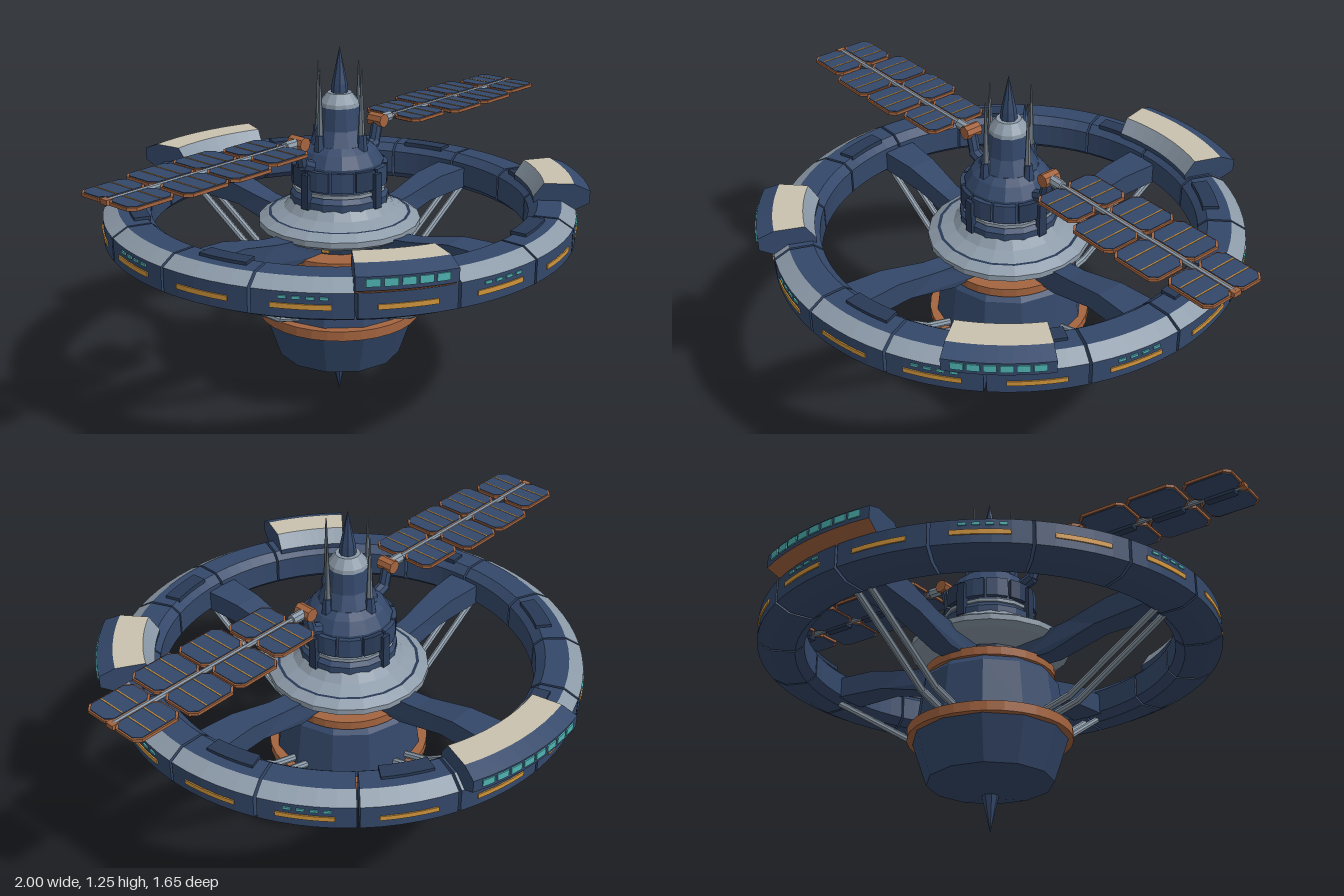
import * as THREE from 'three';

const mat = (name, color) => Object.assign(new THREE.MeshStandardMaterial({ color, flatShading: true }), { name });
const navy = mat('hull navy', 0x34486a);
const dark = mat('panel navy', 0x293a56);
const steel = mat('steel grey', 0x8c9aa8);
const cream = mat('roof cream', 0xcac2b0);
const copper = mat('copper trim', 0xa4643f);
const amber = mat('amber light', 0xd0953c);
const teal = mat('teal glass', 0x4fb3b3);
const gunmetal = mat('strut grey', 0x6f7c88);

const DEG = Math.PI / 180;

function add(parent, name, geometry, material, x = 0, y = 0, z = 0) {
  const m = new THREE.Mesh(geometry, material);
  m.name = name;
  m.position.set(x, y, z);
  parent.add(m);
  return m;
}

function group(parent, name) {
  const g = new THREE.Group();
  g.name = name;
  parent.add(g);
  return g;
}

// Sweeps a convex counter-clockwise [radius, y] profile around y; one material index per profile edge.
function sweep(profile, a0, a1, steps, edgeMats = []) {
  const pos = [], geo = new THREE.BufferGeometry(), n = profile.length;
  const pt = (i, a) => [profile[i % n][0] * Math.cos(a), profile[i % n][1], profile[i % n][0] * Math.sin(a)];
  for (let i = 0; i < n; i++) {
    const start = pos.length / 3;
    for (let s = 0; s < steps; s++) {
      const a = a0 + (a1 - a0) * s / steps, b = a0 + (a1 - a0) * (s + 1) / steps;
      pos.push(...pt(i, a), ...pt(i + 1, a), ...pt(i + 1, b), ...pt(i, a), ...pt(i + 1, b), ...pt(i, b));
    }
    geo.addGroup(start, pos.length / 3 - start, edgeMats[i] || 0);
  }
  const capStart = pos.length / 3;
  for (let i = 1; i < n - 1; i++) {
    pos.push(...pt(0, a0), ...pt(i + 1, a0), ...pt(i, a0));
    pos.push(...pt(0, a1), ...pt(i, a1), ...pt(i + 1, a1));
  }
  geo.addGroup(capStart, pos.length / 3 - capStart, 0);
  geo.setAttribute('position', new THREE.Float32BufferAttribute(pos, 3));
  geo.computeVertexNormals();
  return geo;
}

const band = (r0, r1, y0, y1) => [[r0, y0], [r1, y0], [r1, y1], [r0, y1]];
const lathe = (pts, sides) => new THREE.LatheGeometry(pts.map(p => new THREE.Vector2(...p)), sides);

// Straight round bar between two points
function bar(parent, name, a, b, r, material) {
  const p = new THREE.Vector3(...a), q = new THREE.Vector3(...b);
  const m = add(parent, name, new THREE.CylinderGeometry(r, r, p.distanceTo(q), 8), material);
  m.position.copy(p).lerp(q, 0.5);
  m.quaternion.setFromUnitVectors(new THREE.Vector3(0, 1, 0), q.sub(p).normalize());
  return m;
}

function buildRing(root) {
  const ring = group(root, 'habitatRing');
  const section = [[0.64, 0.63], [0.67, 0.605], [0.75, 0.605], [0.80, 0.63], [0.80, 0.71], [0.75, 0.74], [0.67, 0.74], [0.64, 0.715]];
  const seg = Math.PI / 8, gap = 0.006;
  for (let i = 0; i < 16; i++) {
    const a = i * seg, at = t => a + seg * t;
    add(ring, 'ringSegment', sweep(section, a + gap, a + seg - gap, 5, [0, 0, 0, 0, 1, 0, 0, 0]), [navy, steel]);
    add(ring, 'ringWindowStrip', sweep(band(0.799, 0.804, 0.658, 0.674), at(0.22), at(0.8), 4), amber);
    // Small portholes and roof hatches on every other segment
    if (i % 2 === 0) {
      for (let k = 0; k < 4; k++)
        add(ring, 'ringPorthole', sweep(band(0.799, 0.804, 0.689, 0.698), at(0.25 + k * 0.13), at(0.33 + k * 0.13), 1), teal);
    } else {
      add(ring, 'roofHatch', sweep(band(0.66, 0.715, 0.735, 0.75), at(0.15), at(0.75), 4), dark);
    }
  }
}

function buildPods(root) {
  const section = [[0.66, 0.72], [0.79, 0.705], [0.845, 0.735], [0.845, 0.778], [0.79, 0.80], [0.69, 0.80], [0.655, 0.75]];
  for (const [mid, span] of [[-84.5, 32], [42, 23], [125, 21]]) {
    const pod = group(root, 'habitatPod');
    const a0 = (mid - span / 2) * DEG, a1 = (mid + span / 2) * DEG;
    add(pod, 'podShell', sweep(section, a0, a1, 8, [1, 1, 0, 0, 2, 3, 0]), [navy, copper, cream, steel]);
    const count = Math.round(span / 4), step = (a1 - a0) / (count + 1);
    for (let k = 0; k < count; k++) {
      const a = a0 + step * (k + 0.6);
      add(pod, 'podWindow', sweep(band(0.843, 0.849, 0.748, 0.772), a, a + step * 0.8, 2), teal);
    }
  }
}

function buildHub(root) {
  const hub = group(root, 'hub');
  add(hub, 'keelSpike', lathe([[0, 0], [0.032, 0.14]], 8), navy);
  add(hub, 'lowerHull', lathe([[0, 0.12], [0.215, 0.17], [0.265, 0.32]], 12), navy);
  add(hub, 'lowerTrim', new THREE.CylinderGeometry(0.282, 0.282, 0.034, 32), copper, 0, 0.336);
  add(hub, 'upperHull', lathe([[0.258, 0.35], [0.236, 0.52], [0.215, 0.545], [0, 0.545]], 12), navy);
  add(hub, 'upperTrim', new THREE.CylinderGeometry(0.225, 0.225, 0.03, 32), copper, 0, 0.557);
  add(hub, 'neck', new THREE.CylinderGeometry(0.14, 0.14, 0.08, 16), dark, 0, 0.605);
  for (let i = 0; i < 8; i++) {
    const a = (i + 0.5) * Math.PI / 4;
    add(hub, 'neckLight', sweep(band(0.136, 0.146, 0.578, 0.61), a - 0.09, a + 0.09, 2), amber);
  }
  add(hub, 'collar', lathe([[0.13, 0.62], [0.255, 0.63], [0.278, 0.645], [0.278, 0.665], [0.245, 0.685]], 20), steel);
  add(hub, 'collarGroove', lathe([[0.245, 0.685], [0.235, 0.685]], 20), dark);
  add(hub, 'collarTop', lathe([[0.235, 0.685], [0.19, 0.705], [0.165, 0.735], [0, 0.735]], 20), steel);

  // Stepped tower
  add(hub, 'towerBase', lathe([[0.168, 0.72], [0.168, 0.755], [0.15, 0.775], [0.15, 0.87], [0.125, 0.91], [0.1, 0.93], [0, 0.93]], 16), navy);
  add(hub, 'towerBand', lathe([[0.15, 0.773], [0.16, 0.773], [0.16, 0.785], [0.15, 0.785]], 16), steel);
  for (let i = 0; i < 12; i++) {
    const a = i * Math.PI / 6;
    add(hub, 'towerPanel', sweep(band(0.14, 0.164, 0.795, 0.862), a + 0.03, a + Math.PI / 6 - 0.03, 2), i % 3 ? navy : dark);
  }
  add(hub, 'towerNeck', lathe([[0.105, 0.92], [0.085, 0.96], [0.075, 0.98], [0.066, 1.06]], 12), navy);
  add(hub, 'towerCap', lathe([[0.068, 1.055], [0.066, 1.068], [0.042, 1.1], [0, 1.1]], 12), steel);
  add(hub, 'mastSpike', lathe([[0.03, 1.09], [0.026, 1.13], [0, 1.255]], 8), navy);
}

// One quarter: spoke, paired struts, tower rib and antenna, laid out along +x
function buildQuarter(root, angle) {
  const q = group(root, 'spokeAssembly');
  q.rotation.y = angle;
  const side = new THREE.Shape([[0.13, 0.565], [0.27, 0.565], [0.45, 0.615], [0.66, 0.625], [0.66, 0.70],
    [0.5, 0.695], [0.34, 0.66], [0.13, 0.635]].map(p => new THREE.Vector2(...p)));
  const geo = new THREE.ExtrudeGeometry(side, { depth: 2, bevelEnabled: false });
  const p = geo.attributes.position;
  for (let i = 0; i < p.count; i++) {
    const half = 0.038 + 0.024 * Math.max(0, (p.getX(i) - 0.34) / 0.32);
    p.setZ(i, (p.getZ(i) - 1) * half);
  }
  geo.computeVertexNormals();
  add(q, 'spoke', geo, navy);
  for (const z of [-0.027, 0.027]) {
    bar(q, 'strut', [0.67, 0.615, z], [0.335, 0.395, z], 0.012, steel);
    bar(q, 'strutFoot', [0.338, 0.397, z], [0.24, 0.368, z], 0.013, steel);
  }
  add(q, 'towerRib', new THREE.BoxGeometry(0.03, 0.12, 0.03), dark, 0.16, 0.79, 0);
  add(q, 'antennaFoot', new THREE.CylinderGeometry(0.014, 0.022, 0.08, 6), navy, 0.1, 0.93, 0);
  add(q, 'antenna', new THREE.CylinderGeometry(0.002, 0.013, 0.25, 6), gunmetal, 0.096, 1.065, 0);
}

// Flat plate with clipped corners, lying in xz
function plate(w, d, t) {
  const x = w / 2, z = d / 2, c = 0.02;
  const s = new THREE.Shape([[-x + c, -z], [x - c, -z], [x, -z + c], [x, z - c], [x - c, z], [-x + c, z], [-x, z - c], [-x, -z + c]]
    .map(p => new THREE.Vector2(...p)));
  return new THREE.ExtrudeGeometry(s, { depth: t, bevelEnabled: false }).rotateX(-Math.PI / 2).translate(0, -t / 2, 0);
}

function buildWing(root, angle) {
  const wing = group(root, 'solarWing');
  wing.rotation.y = angle;
  const y = 0.965;
  bar(wing, 'wingBracket', [0.11, 0.86, 0], [0.185, 0.89, 0], 0.022, navy);
  bar(wing, 'wingBracket', [0.18, 0.885, 0], [0.2, 0.965, 0], 0.02, navy);
  bar(wing, 'wingHinge', [0.2, y, -0.03], [0.2, y, 0.03], 0.024, copper);
  bar(wing, 'wingSocket', [0.2, y, 0], [0.265, y, 0], 0.018, steel);
  bar(wing, 'wingSpine', [0.26, y, 0], [0.99, y, 0], 0.009, steel);
  add(wing, 'wingTip', new THREE.BoxGeometry(0.02, 0.016, 0.03), copper, 0.99, y, 0);
  for (const [x0, x1, half] of [[0.265, 0.442, 0.12], [0.455, 0.628, 0.146], [0.634, 0.812, 0.146], [0.826, 0.998, 0.12]]) {
    const w = x1 - x0, d = half - 0.006, x = (x0 + x1) / 2;
    for (const s of [-1, 1]) {
      const z = s * (0.006 + d / 2);
      add(wing, 'panelFrame', plate(w, d, 0.01), copper, x, y, z);
      add(wing, 'panelCells', plate(w - 0.01, d - 0.01, 0.015), navy, x, y, z);
      for (const k of [-1, 1])
        add(wing, 'panelLine', new THREE.BoxGeometry(0.004, 0.002, d - 0.014), amber, x + k * w / 6, y + 0.008, z);
    }
    add(wing, 'panelRib', new THREE.BoxGeometry(w * 0.6, 0.012, 0.03), dark, x, y - 0.012, 0);
  }
}

export function createModel() {
  const model = new THREE.Group();
  model.name = 'spaceStation';
  const station = group(model, 'station');
  station.position.z = 0.015;
  buildRing(station);
  buildPods(station);
  buildHub(station);
  for (let i = 0; i < 4; i++) buildQuarter(station, i * Math.PI / 2);
  for (const a of [0, Math.PI]) buildWing(station, a);
  return model;
}
